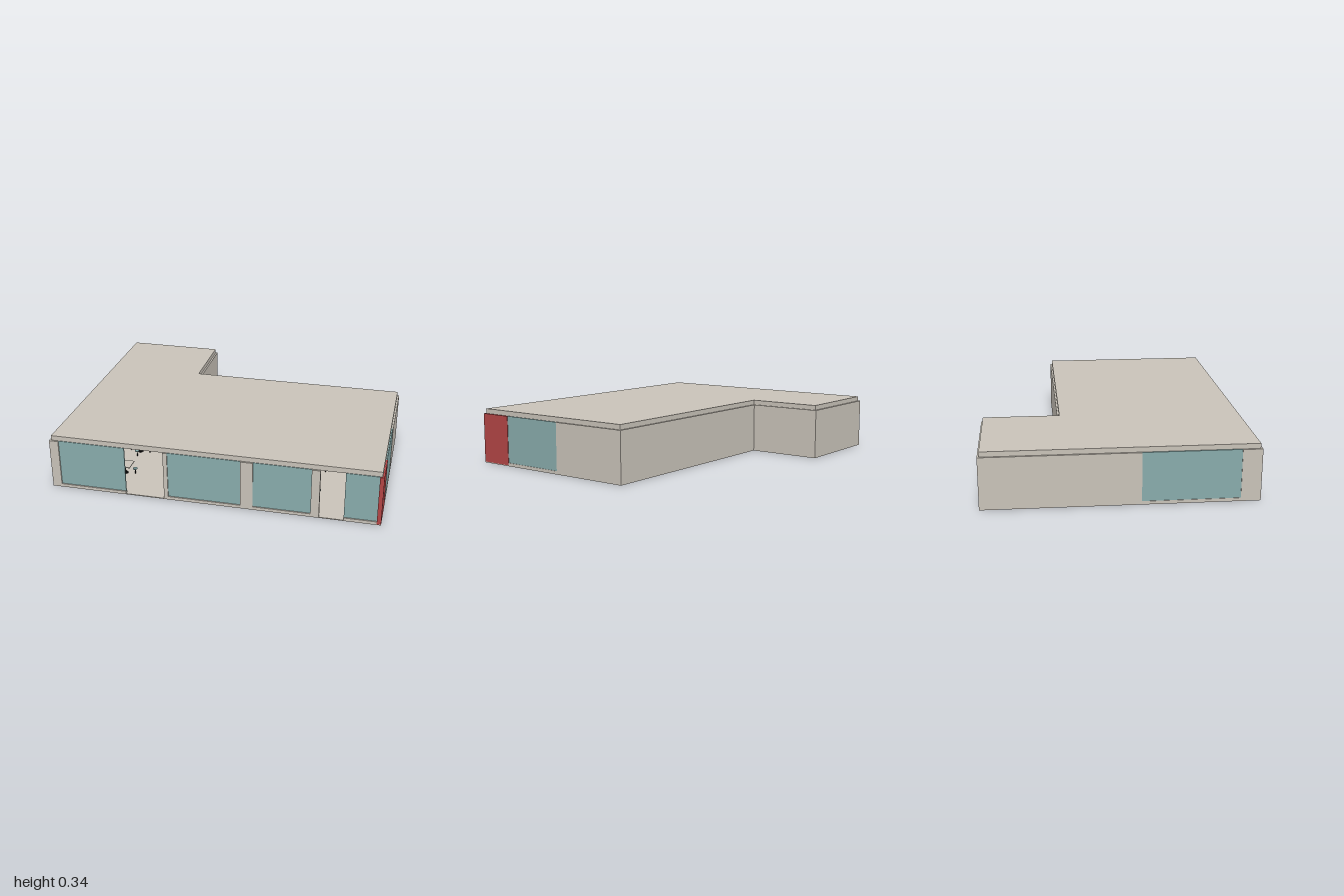
import * as THREE from 'three';

const mat = (name, color, side = THREE.FrontSide) => {
  const m = new THREE.MeshStandardMaterial({ color, side });
  m.name = name;
  return m;
};

export function createModel() {
  const model = new THREE.Group();
  model.name = 'building';
  const stone = mat('warm stone', 0xc8c2b8);
  const glass = mat('teal glass', 0x88abab);
  const red = mat('red', 0xb24545);
  const black = mat('black', 0x0b0b0b);

  // Box given by its minimum and maximum on each axis
  const box = (name, material, x0, x1, y0, y1, z0, z1, parent = model) => {
    const mesh = new THREE.Mesh(new THREE.BoxGeometry(x1 - x0, y1 - y0, z1 - z0), material);
    mesh.position.set((x0 + x1) / 2, (y0 + y1) / 2, (z0 + z1) / 2);
    mesh.name = name;
    parent.add(mesh);
    return mesh;
  };

  // L-shaped slab, inset evenly from the outer footprint
  const slab = (name, inset, y0, y1) => {
    const i = inset;
    const shape = new THREE.Shape([
      [-1 + i, -0.795 + i], [1 - i, -0.795 + i], [1 - i, 0.33 - i],
      [-0.365 - i, 0.33 - i], [-0.365 - i, 0.795 - i], [-1 + i, 0.795 - i],
    ].map(([x, y]) => new THREE.Vector2(x, y)));
    const geo = new THREE.ExtrudeGeometry(shape, { depth: y1 - y0, bevelEnabled: false });
    geo.rotateX(-Math.PI / 2);
    const mesh = new THREE.Mesh(geo, stone);
    mesh.position.y = y0;
    mesh.name = name;
    model.add(mesh);
  };
  slab('floor', 0, 0, 0.005);
  slab('roof', 0.011, 0.308, 0.34);

  const H = 0.31, SILL = 0.02, T = 0.015, F = 0.795;

  // Solid back and side walls
  box('backWall', stone, -1, -0.365, 0, H, -F, -F + T);
  box('notchSideWall', stone, -0.365 - T, -0.365, 0, H, -F, -0.33);
  box('notchBackWall', stone, -0.365 - T, 1, 0, H, -0.33, -0.33 + T);
  box('rightWall', stone, 1 - T, 1, 0, H, -0.33, 0.167);
  box('leftWallRear', stone, -1, -1 + T, 0, H, -F, 0.115);
  box('leftWallFront', stone, -1, -1 + T, 0, H, 0.68, F);

  // Side windows over low sills
  box('rightSill', stone, 1 - T, 1, 0, SILL, 0.167, 0.582);
  box('rightWindow', glass, 0.989, 0.997, SILL, H, 0.167, 0.582);
  box('leftSill', stone, -1, -1 + T, 0, SILL, 0.115, 0.68);
  box('leftWindow', glass, -0.997, -0.989, SILL, H, 0.115, 0.68);

  // Red corner panel
  box('cornerPanel', red, 0.975, 1, 0, H, 0.582, F);

  // Shop front: pillars and windows, with two open doorways between
  for (const [x0, x1] of [[-1, -0.943], [-0.29, -0.265], [0.175, 0.25], [0.592, 0.642]])
    box('frontPillar', stone, x0, x1, 0, H, F - 0.02, F);
  for (const [x0, x1] of [[-0.943, -0.53], [-0.265, 0.175], [0.25, 0.592], [0.785, 0.975]]) {
    box('frontSill', stone, x0, x1, 0, SILL, F - 0.02, F);
    box('frontWindow', glass, x0, x1, SILL, H, 0.78, 0.788);
  }

  // Inner partition and service counter with a menu board above
  box('partition', stone, -0.985, 0.985, 0.005, 0.308, -0.2, -0.185);
  box('partitionReturn', stone, -0.39, 0.06, 0.005, 0.308, -0.185, -0.17);
  box('counter', stone, -0.85, -0.305, 0.025, 0.08, -0.12, -0.04);
  box('counterBase', black, -0.85, -0.25, 0.005, 0.025, -0.115, -0.038);
  box('menuBoard', black, -0.85, -0.37, 0.225, 0.308, -0.05, -0.042);
  for (const [x0, x1] of [[-0.368, -0.334], [-0.328, -0.26]])
    box('menuPanel', black, x0, x1, 0.225, 0.295, -0.05, -0.042);
  box('divider', black, -0.305, -0.285, 0.005, 0.098, 0.36, 0.43);

  // Red bench along the partition
  box('bench', red, 0.2, 0.78, 0.005, 0.045, -0.185, -0.11);
  box('benchBack', red, 0.2, 0.78, 0.045, 0.07, -0.185, -0.165);

  // Tables, each with a post, a foot and four stools
  const cylinder = (name, material, r, h, x, y, z, parent) => {
    const mesh = new THREE.Mesh(new THREE.CylinderGeometry(r, r, h, 12), material);
    mesh.position.set(x, y, z);
    mesh.name = name;
    parent.add(mesh);
  };
  for (const z of [0.55, 0.26]) {
    for (const x of [-0.83, -0.62, -0.15, 0.06, 0.31, 0.54, 0.88]) {
      const set = new THREE.Group();
      set.name = 'tableSet';
      set.position.set(x, 0.005, z);
      box('tableTop', stone, -0.045, 0.045, 0.058, 0.063, -0.045, 0.045, set);
      cylinder('tablePost', black, 0.004, 0.056, 0, 0.03, 0, set);
      cylinder('tableFoot', black, 0.018, 0.003, 0, 0.0015, 0, set);
      for (const [sx, sz] of [[0.065, 0], [-0.065, 0], [0, 0.065], [0, -0.065]]) {
        cylinder('stoolSeat', glass, 0.014, 0.005, sx, 0.036, sz, set);
        cylinder('stoolPost', black, 0.003, 0.034, sx, 0.017, sz, set);
      }
      model.add(set);
    }
  }
  return model;
}
